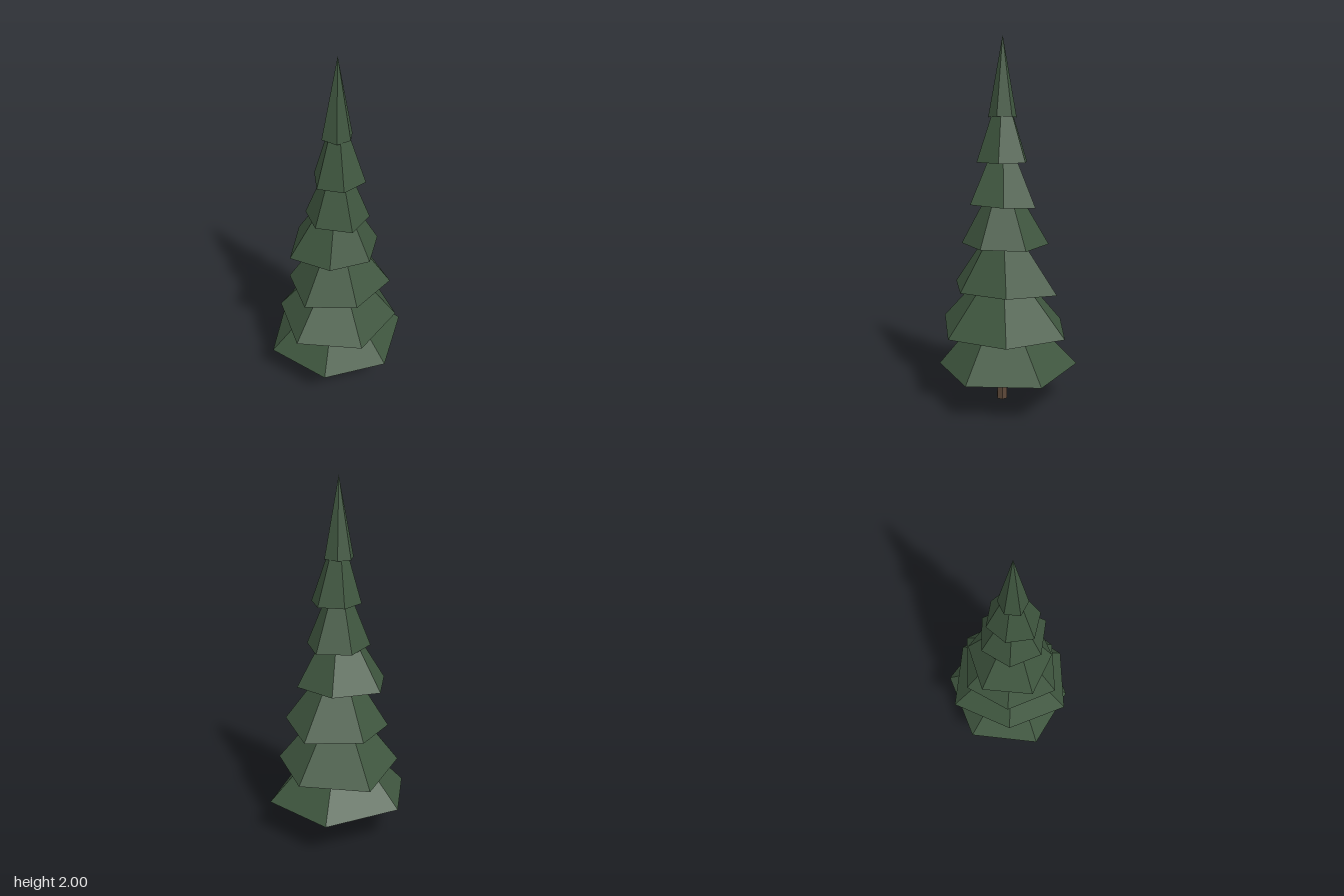
import * as THREE from 'three';

const AXIS_X = 0.022, AXIS_Z = -0.005;

// Rim corners [x, y, z] of each bough tier, clockwise from the back as seen from above
const TIERS = [
  [[-0.15, 0.21, -0.38], [0.26, 0.21, -0.35], [0.39, 0.195, 0.025], [0.17, 0.2, 0.32], [-0.21, 0.2, 0.325], [-0.395, 0.23, -0.04]],
  [[0.025, 0.4, -0.38], [0.325, 0.41, -0.18], [0.32, 0.405, 0.17], [0.02, 0.435, 0.375], [-0.27, 0.425, 0.16], [-0.32, 0.4, -0.21]],
  [[0.022, 0.637, -0.33], [0.285, 0.66, -0.16], [0.255, 0.65, 0.13], [0.02, 0.65, 0.295], [-0.225, 0.64, 0.12], [-0.24, 0.64, -0.155]],
  [[-0.09, 0.89, -0.23], [0.158, 0.89, -0.21], [0.25, 0.895, 0.01], [0.12, 0.895, 0.197], [-0.13, 0.88, 0.224], [-0.26, 0.89, -0.025]],
  [[0.03, 1.1, -0.205], [0.176, 1.11, -0.09], [0.195, 1.12, 0.1], [0.015, 1.12, 0.18], [-0.13, 1.11, 0.075], [-0.13, 1.1, -0.105]],
  [[0.053, 1.34, -0.155], [0.168, 1.34, -0.055], [0.135, 1.34, 0.093], [-0.002, 1.335, 0.14], [-0.1, 1.345, 0.03], [-0.08, 1.34, -0.1]],
  [[-0.015, 1.575, -0.07], [0.062, 1.58, -0.08], [0.1, 1.58, -0.01], [0.065, 1.575, 0.06], [-0.022, 1.58, 0.068], [-0.055, 1.575, -0.005]],
];

// Hollow six-sided cone from an uneven rim up to a point on the trunk axis
function boughGeometry(rim, apexY) {
  const apex = [AXIS_X, apexY, AXIS_Z];
  const points = [];
  rim.forEach((corner, i) => {
    points.push(...rim[(i + 1) % rim.length], ...corner, ...apex);
  });
  const geometry = new THREE.BufferGeometry();
  geometry.setAttribute('position', new THREE.Float32BufferAttribute(points, 3));
  geometry.computeVertexNormals();
  return geometry;
}

export function createModel() {
  const tree = new THREE.Group();
  tree.name = 'pineTree';

  const needleGreen = new THREE.MeshStandardMaterial({ color: 0x3f563f, flatShading: true, side: THREE.DoubleSide });
  needleGreen.name = 'needleGreen';
  const barkBrown = new THREE.MeshStandardMaterial({ color: 0x5d4839, flatShading: true });
  barkBrown.name = 'barkBrown';

  // Trunk, running up inside the lowest tiers
  const trunk = new THREE.Mesh(new THREE.CylinderGeometry(0.025, 0.031, 0.5, 6), barkBrown);
  trunk.name = 'trunk';
  trunk.position.set(AXIS_X, 0.25, 0);
  tree.add(trunk);

  // Stacked bough tiers; the last one forms the tip
  TIERS.forEach((rim, i) => {
    const isTip = i === TIERS.length - 1;
    const meanY = rim.reduce((sum, corner) => sum + corner[1], 0) / rim.length;
    const tier = new THREE.Mesh(boughGeometry(rim, isTip ? 2 : meanY + 0.43), needleGreen);
    tier.name = isTip ? 'treeTip' : `boughTier${i + 1}`;
    tree.add(tier);
  });

  return tree;
}
